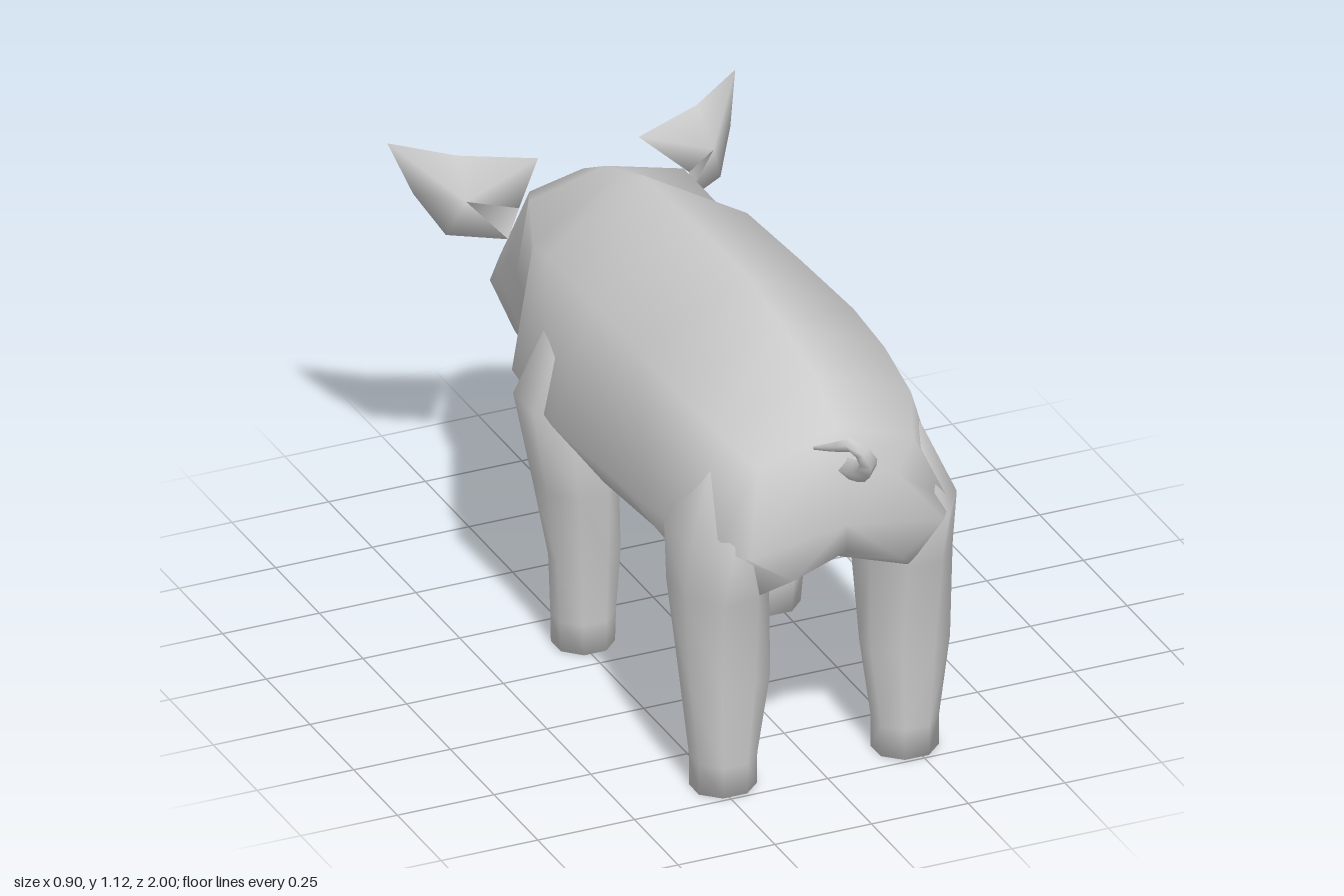
import * as THREE from 'three';

const material = new THREE.MeshStandardMaterial({ color: 0xcccccc, side: THREE.DoubleSide });

function indexed(points, index) {
  const g = new THREE.BufferGeometry();
  g.setAttribute('position', new THREE.Float32BufferAttribute(points.flat(), 3));
  g.setIndex(index);
  g.computeVertexNormals();
  return g;
}

// Skin over a list of rings, closed with a fan at both ends
function loft(rings) {
  const n = rings[0].length, last = (rings.length - 1) * n;
  const points = rings.flat(), index = [];
  for (let i = 0; i < rings.length - 1; i++) {
    for (let j = 0; j < n; j++) {
      const a = i * n + j, b = i * n + (j + 1) % n;
      index.push(a, b, b + n, a, b + n, a + n);
    }
  }
  const centre = (ring) => [0, 1, 2].map((k) => ring.reduce((s, p) => s + p[k], 0) / n);
  const c0 = points.push(centre(rings[0])) - 1;
  const c1 = points.push(centre(rings.at(-1))) - 1;
  for (let j = 0; j < n; j++) {
    const k = (j + 1) % n;
    index.push(c0, k, j, c1, last + j, last + k);
  }
  return indexed(points, index);
}

function mirrored(geometry) {
  const g = geometry.clone().scale(-1, 1, 1);
  g.setIndex([...g.index.array].reverse());
  g.computeVertexNormals();
  return g;
}

// Body section: z at top and bottom, top y, three side points (x, y), bottom y
function bodyRing([zTop, zBottom, top, x1, y1, x2, y2, x3, y3, bottom]) {
  const at = (x, y) => [x, y, THREE.MathUtils.mapLinear(y, top, bottom, zTop, zBottom)];
  const side = [at(x1, y1), at(x2, y2), at(x3, y3)];
  const other = side.map(([x, y, z]) => [-x, y, z]).reverse();
  return [at(0, top), ...side, at(0, bottom), ...other];
}

// Leg section: an eight-sided ring filling a box at height y
function legRing([y, x0, x1, z0, z1]) {
  return Array.from({ length: 8 }, (_, j) => {
    const a = (j + 0.5) * Math.PI / 4, k = 0.5 / Math.cos(Math.PI / 8);
    return [(x0 + x1) / 2 + Math.sin(a) * (x1 - x0) * k, y,
      (z0 + z1) / 2 + Math.cos(a) * (z1 - z0) * k];
  });
}

export function createModel() {
  const model = new THREE.Group();
  const add = (name, geometry) => {
    const mesh = new THREE.Mesh(geometry, material);
    mesh.name = name;
    model.add(mesh);
  };
  const addPair = (name, geometry) => {
    add('left' + name, geometry);
    add('right' + name, mirrored(geometry));
  };

  // Trunk and head, from rump to snout
  add('bodyAndHead', loft([
    [0.86, 0.86, 0.90, 0.13, 0.84, 0.25, 0.69, 0.14, 0.61, 0.66],
    [0.80, 0.78, 0.96, 0.20, 0.89, 0.30, 0.69, 0.20, 0.54, 0.61],
    [0.68, 0.64, 1.04, 0.25, 0.94, 0.33, 0.69, 0.26, 0.52, 0.55],
    [0.48, 0.48, 1.085, 0.27, 0.96, 0.345, 0.67, 0.24, 0.49, 0.47],
    [0.29, 0.29, 1.12, 0.275, 0.97, 0.35, 0.66, 0.22, 0.48, 0.465],
    [0.00, 0.00, 1.11, 0.27, 0.96, 0.375, 0.66, 0.24, 0.48, 0.45],
    [-0.30, -0.24, 1.10, 0.26, 0.95, 0.36, 0.68, 0.22, 0.50, 0.45],
    [-0.42, -0.37, 1.055, 0.24, 0.92, 0.25, 0.74, 0.15, 0.62, 0.605],
    [-0.52, -0.50, 1.02, 0.20, 0.97, 0.235, 0.79, 0.15, 0.57, 0.53],
    [-0.65, -0.61, 0.95, 0.14, 0.92, 0.205, 0.76, 0.15, 0.50, 0.46],
    [-0.83, -0.80, 0.75, 0.10, 0.73, 0.145, 0.62, 0.11, 0.47, 0.455],
    [-1.00, -0.97, 0.575, 0.06, 0.56, 0.09, 0.51, 0.06, 0.455, 0.45],
  ].map(bodyRing)));

  // Legs, from hoof up into the trunk
  addPair('RearLeg', loft([
    [0, 0.16, 0.31, 0.60, 0.74],
    [0.08, 0.16, 0.31, 0.60, 0.742],
    [0.29, 0.13, 0.335, 0.595, 0.755],
    [0.53, 0.13, 0.345, 0.51, 0.78],
    [0.68, 0.12, 0.345, 0.47, 0.83],
    [0.86, 0.10, 0.27, 0.52, 0.75],
  ].map(legRing)));
  addPair('FrontLeg', loft([
    [0, 0.17, 0.31, -0.19, -0.05],
    [0.08, 0.17, 0.315, -0.18, -0.047],
    [0.25, 0.165, 0.33, -0.155, -0.035],
    [0.44, 0.17, 0.355, -0.22, -0.005],
    [0.66, 0.17, 0.39, -0.27, 0.01],
    [0.86, 0.12, 0.29, -0.24, -0.04],
  ].map(legRing)));

  // Ears: a leaf-shaped rim joined to a back point and a hollow front point
  const rim = [[0.13, 1.02, -0.62], [0.31, 1.035, -0.685], [0.45, 1.055, -0.775],
    [0.41, 0.94, -0.715], [0.355, 0.85, -0.65], [0.23, 0.85, -0.57], [0.22, 0.95, -0.53]];
  const earIndex = rim.flatMap((_, i) => {
    const j = (i + 1) % rim.length;
    return [7, j, i, 8, i, j];
  });
  addPair('Ear', indexed([...rim, [0.32, 0.96, -0.655], [0.32, 0.95, -0.61]], earIndex));

  // Curled tail, tapering to its tip
  const path = new THREE.CatmullRomCurve3([[0, 0.87, 0.82], [0.01, 0.90, 0.92],
    [0, 0.96, 0.98], [-0.03, 1.0, 0.97], [-0.06, 0.98, 0.92], [-0.09, 0.96, 0.87]]
    .map((p) => new THREE.Vector3(...p)));
  const steps = 10, sides = 4;
  const tail = new THREE.TubeGeometry(path, steps, 0.028, sides);
  const pos = tail.attributes.position, v = new THREE.Vector3();
  for (let i = 0; i < pos.count; i++) {
    const t = Math.floor(i / (sides + 1)) / steps;
    const c = path.getPointAt(t);
    v.fromBufferAttribute(pos, i).sub(c).multiplyScalar(1 - 0.85 * t * t).add(c);
    pos.setXYZ(i, v.x, v.y, v.z);
  }
  tail.computeVertexNormals();
  add('tail', tail);

  return model;
}
